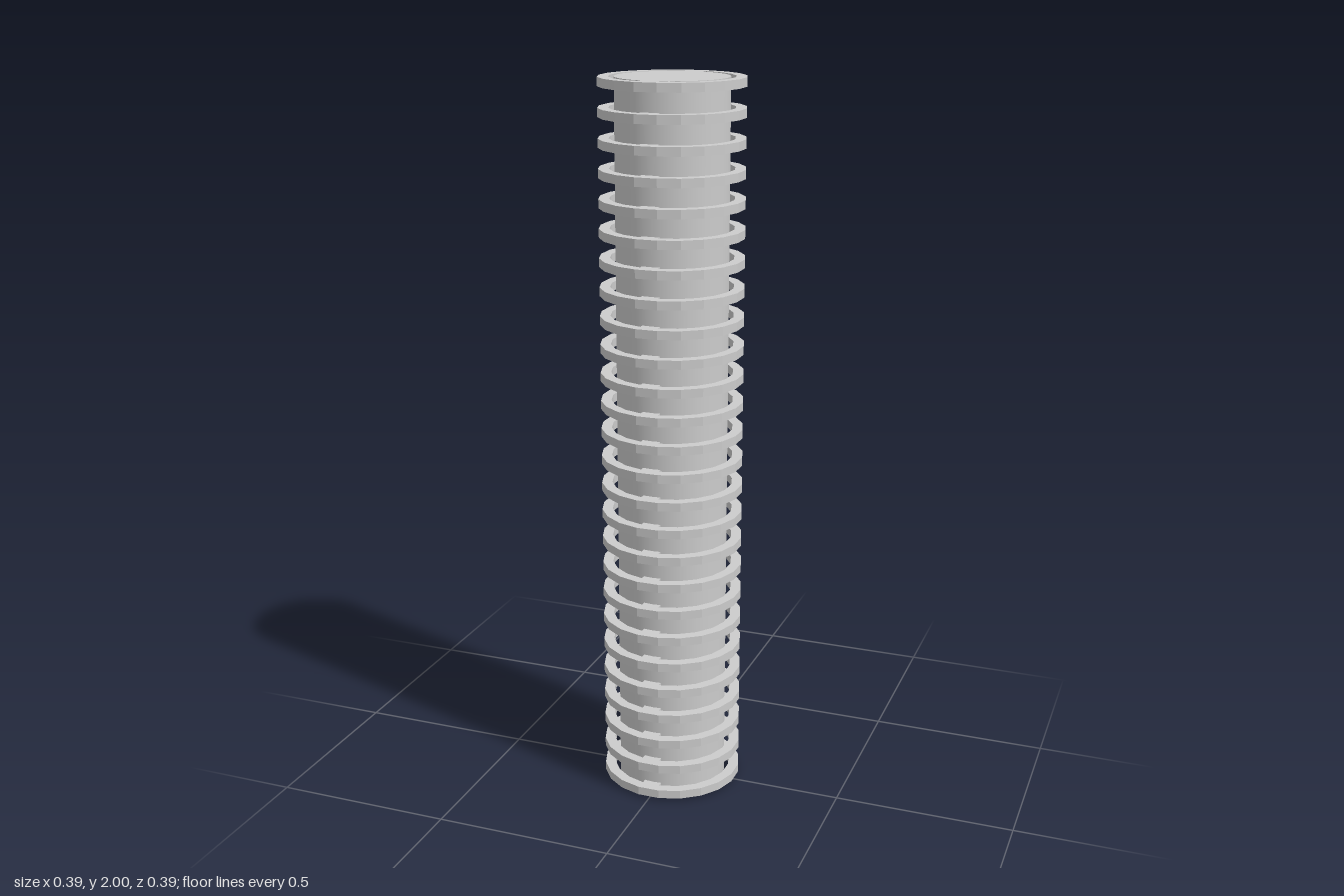
import * as THREE from 'three';

const HEIGHT = 2, CORE_R = 0.152;
const RING_COUNT = 26, RING_R = 0.196, RING_INNER = 0.167, RING_T = 0.024, PITCH = 0.0787;

const polar = (r, deg) => {
  const a = THREE.MathUtils.degToRad(deg);
  return new THREE.Vector2(r * Math.cos(a), r * Math.sin(a));
};

// Twenty-sided ring whose opening is broken by two tabs reaching into the core
function ringGeometry() {
  const outer = [];
  for (let i = 0; i < 20; i++) outer.push(polar(RING_R, 9 + 18 * i));
  const shape = new THREE.Shape(outer);

  const hole = [];
  for (const turn of [0, -180]) {
    const arc = [];
    for (let i = 0; i <= 9; i++) arc.push(polar(RING_INNER, turn + 80.4 - 18.1 * i));
    const sign = turn === 0 ? 1 : -1;
    // straight tab sides, ending inside the core
    hole.push(new THREE.Vector2(arc[0].x, sign * 0.14), ...arc, new THREE.Vector2(arc[9].x, -sign * 0.14));
  }
  shape.holes.push(new THREE.Path(hole));

  const geo = new THREE.ExtrudeGeometry(shape, { depth: RING_T, bevelEnabled: false });
  geo.rotateX(-Math.PI / 2);
  return geo;
}

export function createModel() {
  const model = new THREE.Group();
  model.name = 'ribbedColumn';

  // Solid round core
  const core = new THREE.Mesh(
    new THREE.CylinderGeometry(CORE_R, CORE_R, HEIGHT, 40),
    new THREE.MeshStandardMaterial({ color: 0xcccccc })
  );
  core.name = 'core';
  core.position.y = HEIGHT / 2;
  model.add(core);

  // Evenly stacked rings, the highest flush with the top
  const ringMaterial = new THREE.MeshStandardMaterial({ color: 0xcccccc, flatShading: true });
  const geo = ringGeometry();
  const rings = new THREE.Group();
  rings.name = 'rings';
  for (let i = 0; i < RING_COUNT; i++) {
    const ring = new THREE.Mesh(geo, ringMaterial);
    ring.name = `ring${i + 1}`;
    ring.position.y = HEIGHT - RING_T - i * PITCH;
    rings.add(ring);
  }
  model.add(rings);
  return model;
}
